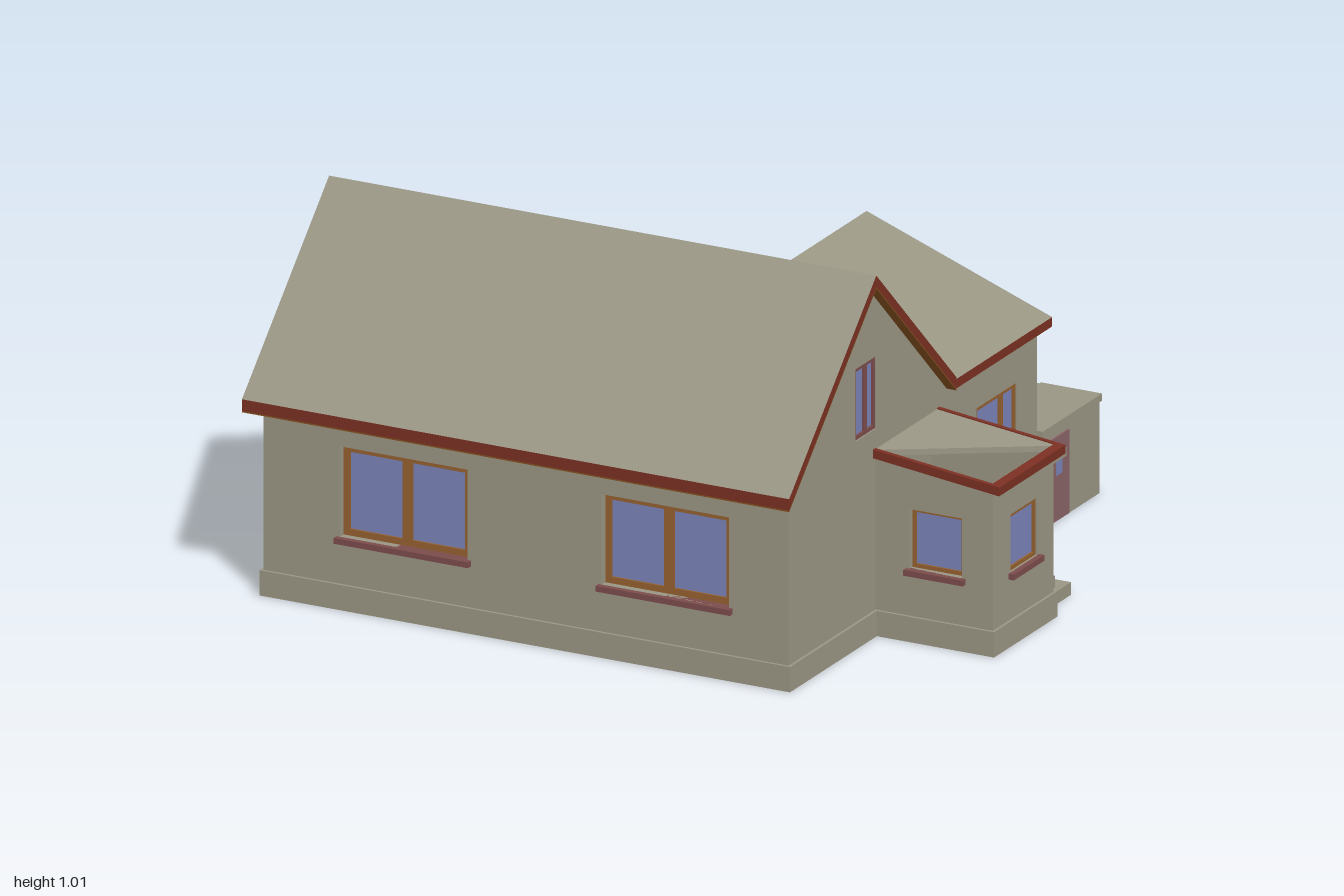
import * as THREE from 'three';

const mat = (name, color, side = THREE.FrontSide) => {
  const m = new THREE.MeshStandardMaterial({ color, side });
  m.name = name;
  return m;
};

export function createModel() {
  const stone = mat('stone', 0x9a9684);
  const red = mat('red trim', 0x7a3022);
  const brown = mat('brown soffit', 0x855020);
  const wood = mat('wood frame', 0x94602f);
  const rose = mat('rose door', 0x8a6366);
  const roseDark = mat('dark rose', 0x7c4c4c);
  const glass = mat('glass', 0x7a83b8);

  const root = new THREE.Group();
  root.name = 'house';
  const house = new THREE.Group();
  house.name = 'building';
  house.rotation.y = 0.145;
  root.add(house);

  const add = (parent, name, geo, m) => {
    const mesh = new THREE.Mesh(geo, m);
    mesh.name = name;
    parent.add(mesh);
    return mesh;
  };
  // Box given by its limits
  const box = (parent, name, m, x0, x1, y0, y1, z0, z1) => {
    const b = add(parent, name, new THREE.BoxGeometry(x1 - x0, y1 - y0, z1 - z0), m);
    b.position.set((x0 + x1) / 2, (y0 + y1) / 2, (z0 + z1) / 2);
    return b;
  };
  const shapeOf = pts => new THREE.Shape(pts.map(p => new THREE.Vector2(...p)));

  // Local frame of a facade: its outer face lies on local z = 0
  const turns = { front: 0, right: Math.PI / 2, back: Math.PI, left: -Math.PI / 2 };
  const facade = (name, side, off) => {
    const g = new THREE.Group();
    g.name = name;
    g.rotation.y = turns[side];
    if (side === 'front' || side === 'back') g.position.z = off;
    else g.position.x = off;
    g.userData.sign = side === 'front' || side === 'left' ? 1 : -1;
    house.add(g);
    return g;
  };
  // Extruded wall with rectangular openings [a0, a1, y0, y1]
  const wall = (g, name, pts, openings = [], depth = 0.04) => {
    const s = g.userData.sign;
    const shape = shapeOf(pts.map(([a, y]) => [a * s, y]));
    for (const [a0, a1, y0, y1] of openings)
      shape.holes.push(new THREE.Path([[a0, y0], [a0, y1], [a1, y1], [a1, y0]]
        .map(([a, y]) => new THREE.Vector2(a * s, y))));
    const geo = new THREE.ExtrudeGeometry(shape, { depth, bevelEnabled: false });
    geo.translate(0, 0, -depth);
    return add(g, name, geo, stone);
  };
  // Framed window; mullion is a fraction of the width, or null
  const windowIn = (g, [p, q, y0, y1], z, frame, mullion, sill = true, f = 0.011) => {
    const s = g.userData.sign, a0 = Math.min(p * s, q * s), a1 = Math.max(p * s, q * s);
    box(g, 'windowGlass', glass, a0, a1, y0, y1, z - 0.008, z);
    const bar = (...r) => box(g, 'windowFrame', frame, ...r, z - 0.008, z + 0.006);
    bar(a0, a0 + f, y0, y1);
    bar(a1 - f, a1, y0, y1);
    bar(a0 + f, a1 - f, y0, y0 + f);
    bar(a0 + f, a1 - f, y1 - f, y1);
    if (mullion) {
      const c = a0 + (a1 - a0) * mullion;
      bar(c - f * 0.8, c + f * 0.8, y0 + f, y1 - f);
    }
    if (sill) box(g, 'windowSill', roseDark, a0 - 0.01, a1 + 0.01, y0 - 0.016, y0, -0.02, 0.016);
  };
  // Sloped roof plate: plan outline [x, z], height rule, thickness
  const slab = (name, pts, yAt, t, mats) => {
    const geo = new THREE.ExtrudeGeometry(shapeOf(pts.map(([x, z]) => [x, -z])), { depth: t, bevelEnabled: false });
    geo.rotateX(-Math.PI / 2);
    const p = geo.attributes.position;
    for (let i = 0; i < p.count; i++) p.setY(i, p.getY(i) - t + yAt(p.getX(i), p.getZ(i)));
    geo.computeVertexNormals();
    return add(house, name, geo, mats);
  };
  const rect = (x0, x1, z0, z1) => [[x0, z0], [x1, z0], [x1, z1], [x0, z1]];

  // Roof height rules
  const mainY = x => 1.015 - Math.abs(x + 0.367) * 0.958;
  const wingY = (x, z) => 0.785 - (z - 0.068) * 0.366;
  const porchY = (x, z) => 0.475 + (0.955 - z) * 0.113;

  // Plinths
  box(house, 'mainPlinth', stone, -0.806, 0.068, 0, 0.07, -0.968, 0.593);
  box(house, 'wingPlinth', stone, 0.06, 0.577, 0, 0.07, 0.075, 0.593);
  box(house, 'porchPlinth', stone, -0.325, 0.026, 0, 0.07, 0.58, 0.938);

  // Main house walls
  const gable = [[-0.798, 0], [0.06, 0], [0.06, mainY(0.06) - 0.03], [-0.367, 0.985], [-0.798, mainY(-0.798) - 0.03]];
  const front = facade('mainFront', 'front', 0.585);
  const attic = [-0.429, -0.313, 0.57, 0.77];
  wall(front, 'frontGable', gable, [attic]);
  windowIn(front, attic, -0.01, roseDark, 0.55, false);
  wall(facade('mainBack', 'back', -0.96), 'backGable', gable);
  const left = facade('mainLeft', 'left', -0.798);
  const sideWindows = [[-0.735, -0.36, 0.2, 0.45], [0.035, 0.41, 0.2, 0.45]];
  wall(left, 'leftWall', [[-0.92, 0], [0.545, 0], [0.545, 0.58], [-0.92, 0.58]], sideWindows);
  for (const w of sideWindows) windowIn(left, w, -0.026, wood, 0.5, true, 0.018);
  wall(facade('mainRight', 'right', 0.06), 'rightWall', [[-0.92, 0], [0.1, 0], [0.1, 0.57], [-0.92, 0.57]]);

  // Main roof, shortened on the right where the wing joins
  const roofParts = [
    ['leftRoof', rect(-0.85, -0.367, -0.996, 0.614)],
    ['rightRoof', [[-0.367, -0.996], [0.112, -0.996], [0.112, 0.068], [0.077, 0.068], [0.077, 0.614], [-0.367, 0.614]]],
  ];
  for (const [name, pts] of roofParts) {
    slab(name, pts, mainY, 0.032, [stone, red]);
    slab(name + 'Soffit', pts, x => mainY(x) - 0.032, 0.004, brown);
  }

  // Wing walls
  const wingFront = facade('wingFront', 'front', 0.585);
  const big = [0.243, 0.465, 0.205, 0.445];
  wall(wingFront, 'wingFrontWall', [[0.06, 0], [0.577, 0], [0.577, 0.573], [0.06, 0.573]], [big]);
  windowIn(wingFront, big, -0.01, wood, 0.65);
  const wingRight = facade('wingRight', 'right', 0.577);
  const small = [0.286, 0.372, 0.565, 0.64];
  wall(wingRight, 'wingRightWall', [[0.08, 0], [0.545, 0], [0.545, wingY(0, 0.545) - 0.022], [0.08, wingY(0, 0.08) - 0.022]], [small]);
  windowIn(wingRight, small, -0.01, roseDark, 0.5, false);
  box(wingRight, 'upperDoor', rose, -0.215, -0.12, 0.525, 0.69, -0.01, 0.006);
  wall(facade('wingBack', 'back', 0.075), 'wingBackWall',
    [[0.05, 0], [0.577, 0], [0.577, 0.762], [-0.115, 0.762], [0.05, 0.6]]);
  // Stepped wall behind the stairs
  wall(facade('stairBack', 'back', 0.075), 'stairBackWall',
    [[0.577, 0], [0.905, 0], [0.905, 0.25], [0.74, 0.25], [0.74, 0.525], [0.577, 0.525]], [], 0.043);
  slab('wingRoof', [[-0.126, 0.068], [0.607, 0.068], [0.607, 0.614], [0.077, 0.614]], wingY, 0.026, [stone, red]);

  // Outside stairs: base, landing and two flights
  box(house, 'stairBase', stone, 0.577, 0.905, 0, 0.035, 0.08, 0.5);
  box(house, 'landingBlock', stone, 0.577, 0.902, 0, 0.255, 0.425, 0.597);
  box(house, 'landingSlab', stone, 0.577, 0.906, 0.255, 0.275, 0.422, 0.602);
  const flight = (z0, y0, z1, y1, n) => {
    const pts = [];
    for (let i = 0; i < n; i++) {
      const z = z0 + (z1 - z0) * i / n;
      pts.push([z, y0 + (y1 - y0) * i / n], [z, y0 + (y1 - y0) * (i + 1) / n]);
    }
    return pts;
  };
  wall(facade('upperStairs', 'right', 0.74), 'upperFlight',
    [...flight(0.452, 0.27, 0.23, 0.525, 8), [0.117, 0.525], [0.117, 0.49], [0.2, 0.49], [0.4, 0.27]], [], 0.163);
  wall(facade('lowerStairs', 'right', 0.904), 'lowerFlight',
    [...flight(0.223, 0.035, 0.426, 0.272, 8), [0.43, 0.272], [0.43, 0], [0.223, 0]], [], 0.164);

  // Cellar door under the landing
  box(house, 'cellarDoor', rose, 0.605, 0.726, 0.003, 0.235, 0.59, 0.602);
  box(house, 'cellarDoorPane', glass, 0.65, 0.682, 0.13, 0.2, 0.595, 0.605);

  // Porch walls
  const porchFront = facade('porchFront', 'front', 0.93);
  const pw = [-0.22, -0.07, 0.2, 0.36];
  wall(porchFront, 'porchFrontWall', [[-0.317, 0.05], [0.02, 0.05], [0.02, 0.455], [-0.317, 0.455]], [pw], 0.03);
  windowIn(porchFront, pw, -0.012, wood, null);
  const sideWall = [[0.58, 0.05], [0.9, 0.05], [0.9, porchY(0, 0.9) - 0.02], [0.58, porchY(0, 0.58) - 0.02]];
  const porchLeft = facade('porchLeft', 'left', -0.317);
  const plw = [0.685, 0.84, 0.2, 0.365];
  wall(porchLeft, 'porchLeftWall', sideWall, [plw], 0.03);
  windowIn(porchLeft, plw, -0.022, wood, null);
  const porchRight = facade('porchRight', 'right', 0.02);
  wall(porchRight, 'porchRightWall', sideWall, [], 0.03);

  // Porch door with panels and a handle
  box(porchRight, 'doorFrame', roseDark, -0.845, -0.627, 0.07, 0.37, -0.01, 0.008);
  box(porchRight, 'doorLeaf', rose, -0.832, -0.675, 0.075, 0.358, -0.005, 0.014);
  box(porchRight, 'doorSidelight', rose, -0.665, -0.637, 0.075, 0.358, -0.005, 0.014);
  box(porchRight, 'doorHandle', roseDark, -0.69, -0.683, 0.19, 0.23, 0.014, 0.022);

  // Porch roof: a half covering inside a red rim
  slab('porchRoof', [[-0.325, 0.585], [0.034, 0.585], [0.034, 0.95]], (x, z) => porchY(x, z) - 0.003, 0.016, stone);
  const rims = [rect(-0.331, -0.317, 0.585, 0.956), rect(0.024, 0.037, 0.585, 0.956), rect(-0.317, 0.024, 0.93, 0.956)];
  for (const r of rims) slab('porchRim', r, porchY, 0.024, red);

  // Door canopy and entrance steps
  box(house, 'doorCanopy', stone, 0.015, 0.102, 0.418, 0.442, 0.58, 0.924);
  box(house, 'lowerStep', stone, 0.02, 0.188, 0, 0.035, 0.58, 0.892);
  box(house, 'upperStep', stone, 0.02, 0.13, 0.035, 0.069, 0.58, 0.875);

  return root;
}
